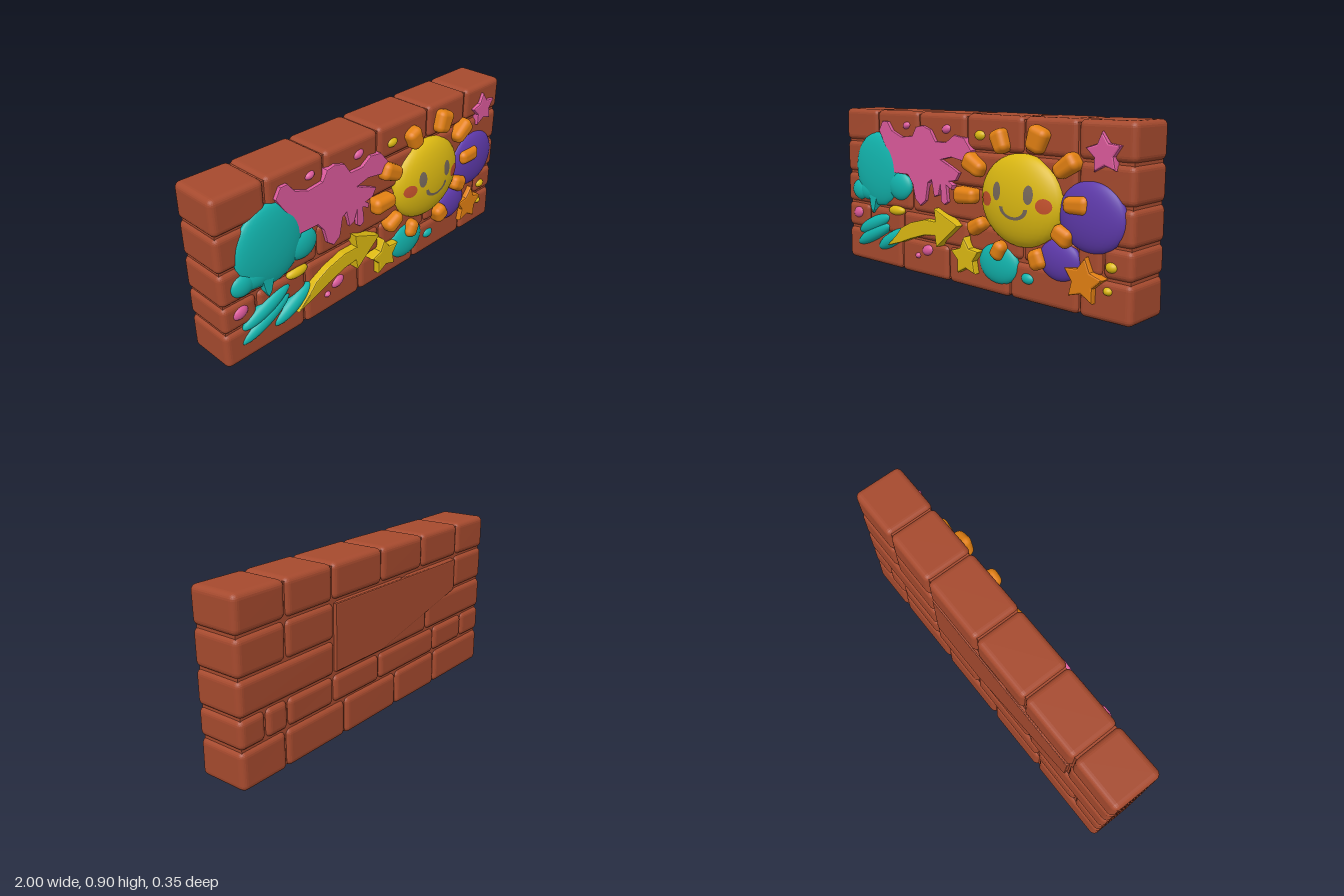
import * as THREE from 'three';
import { RoundedBoxGeometry } from 'three/addons/geometries/RoundedBoxGeometry.js';

const paint = (name, color) => {
  const m = new THREE.MeshStandardMaterial({ color });
  m.name = name;
  return m;
};

export function createModel() {
  const root = new THREE.Group();
  const brick = paint('brick red', 0xa64a2e), teal = paint('teal', 0x12b5ae);
  const pink = paint('pink', 0xdc5a9c), yellow = paint('yellow', 0xdcb912);
  const orange = paint('orange', 0xe28012), purple = paint('purple', 0x5f3aac);
  const grey = paint('face grey', 0x75675a), blush = paint('blush red', 0xc4512c);
  const FACE = 0.1; // z of the wall's front

  const add = (name, geo, mat, x = 0, y = 0, z = 0, turn = 0) => {
    const m = new THREE.Mesh(geo, mat);
    m.name = name;
    m.position.set(x, y, z);
    m.rotation.z = turn;
    root.add(m);
    return m;
  };

  // Brick courses: bottom, top, joint positions
  const courses = [
    [0, 0.2, [-1, -0.515, -0.135, 0.295, 0.715, 1]],
    [0.2, 0.35, [-1, -0.8, -0.5, 0.015, 0.38, 0.7, 0.84, 1]],
    [0.35, 0.53, [-1, -0.42, 0.37, 1]],
    [0.53, 0.72, [-1, -0.7, -0.2, 0.37, 0.7, 1]],
    [0.72, 0.908, [-1, -0.71, -0.36, 0, 0.38, 0.695, 1]],
  ];
  courses.forEach(([y0, y1, xs], row) => {
    for (let i = 0; i < xs.length - 1; i++) {
      const w = xs[i + 1] - xs[i] - 0.004, h = y1 - y0 - 0.004;
      const geo = new RoundedBoxGeometry(w, h, 0.272, 3, 0.03);
      // slight hand-cut wobble, pulling the faces inwards
      const p = geo.attributes.position;
      for (let k = 0; k < p.count; k++) {
        const s = Math.sin(p.getX(k) * 9 + i * 2.3 + row) * Math.sin(p.getY(k) * 11 + row * 1.7 + i);
        p.setZ(k, p.getZ(k) * (1 - 0.02 * Math.abs(s)));
        p.setY(k, p.getY(k) * (1 - 0.025 * Math.abs(Math.sin(p.getX(k) * 6 + i + row))));
      }
      geo.computeVertexNormals();
      add('brick', geo, brick, (xs[i] + xs[i + 1]) / 2, (y0 + y1) / 2, -0.036);
    }
  });
  add('mortarCore', new THREE.BoxGeometry(1.965, 0.87, 0.235), brick, 0, 0.453, -0.036);

  // Flat shapes from outlines
  const plate = (name, points, mat, top, bevel = 0.006) => {
    const shape = new THREE.Shape(points.map(([x, y]) => new THREE.Vector2(x, y)));
    const geo = new THREE.ExtrudeGeometry(shape, {
      depth: top - 0.07 - bevel, bevelEnabled: true, bevelThickness: bevel,
      bevelSize: bevel, bevelOffset: -bevel / 2, bevelSegments: 2,
    });
    return add(name, geo, mat, 0, 0, 0.07);
  };
  const back = plate('rearPanel',
    [[0.36, 0.705], [-0.69, 0.7], [-0.69, 0.53], [0, 0.37], [0.36, 0.37]], brick, 0.13);
  back.position.z = -0.166;

  // Outlines drawn in hundredths
  const hundredths = (list) => list.map(([x, y]) => [x / 100, y / 100]);
  plate('pinkSplat', hundredths([
    [-67, 79], [-64, 84], [-60, 84], [-56, 79], [-48, 76], [-39, 77], [-36, 82], [-31, 83], [-25, 81],
    [-21, 75], [-13, 75], [-7, 79], [0, 78], [5, 72], [4, 66], [-3, 67], [-9, 68], [-17, 66], [-10, 63],
    [-3.5, 60], [-6, 56], [-11, 55], [-8.5, 53], [-9, 51], [-13, 53], [-12, 44], [-14.5, 42.5],
    [-16.5, 44], [-17, 53], [-19, 47], [-22, 46], [-24, 55], [-27, 53], [-29, 43], [-33, 40],
    [-37, 43], [-39, 51], [-43, 56], [-55, 56], [-60, 68],
  ]), pink, 0.117, 0.004);
  plate('arrow', hundredths([
    [-59, 14], [-48, 17.5], [-39, 21], [-28, 24.5], [-19.5, 25.5], [-18.5, 19.5], [-3, 32.5],
    [-20, 39.5], [-19, 32.5], [-28, 32.5], [-39, 29.5], [-47, 25.5], [-51, 21],
  ].reverse()), yellow, 0.138);
  plate('tealDrip', hundredths([[-77.5, 42], [-76, 34], [-74.5, 31], [-73, 33], [-70.5, 42]]), teal, 0.118);

  const star = (x, y, r, mat, top, turn) => {
    const pts = [];
    for (let i = 0; i < 10; i++) {
      const a = Math.PI / 2 + turn + i * Math.PI / 5, q = i % 2 ? r * 0.54 : r;
      pts.push([x + q * Math.cos(a), y + q * Math.sin(a)]);
    }
    plate('star', pts, mat, top, 0.01);
  };
  star(0.025, 0.17, 0.098, yellow, 0.138, 0.1);
  star(0.755, 0.18, 0.105, orange, 0.13, -0.12);
  star(0.845, 0.76, 0.09, pink, 0.118, 0.1);

  // Domed paint blobs: x, y, half width, half height, height above wall, turn
  const blob = (name, mat, x, y, rx, ry, rise, turn = 0) => {
    const geo = new THREE.SphereGeometry(1, 32, 20).scale(rx, ry, rise + 0.01);
    return add(name, geo, mat, x, y, FACE - 0.01, turn);
  };
  [[-0.705, 0.565, 0.2, 0.212, 0.035], [-0.875, 0.43, 0.07, 0.06, 0.025], [-0.52, 0.485, 0.095, 0.083, 0.028],
    [-0.79, 0.435, 0.12, 0.06, 0.022], [0.225, 0.165, 0.13, 0.105, 0.027], [0.415, 0.122, 0.04, 0.028, 0.015],
    [-0.75, 0.24, 0.155, 0.042, 0.025, 0.4], [-0.76, 0.175, 0.165, 0.04, 0.025, 0.45],
    [-0.59, 0.17, 0.14, 0.042, 0.028, 0.5],
  ].forEach((b) => blob('tealBlob', teal, ...b));
  blob('purpleBlob', purple, 0.78, 0.47, 0.182, 0.165, 0.04);
  blob('purpleBlob', purple, 0.605, 0.245, 0.12, 0.1, 0.03);
  [[-0.455, 0.825, 0.03, 0.02], [-0.14, 0.82, 0.035, 0.024], [-0.9, 0.29, 0.045, 0.034],
    [-0.295, 0.15, 0.045, 0.03], [-0.37, 0.11, 0.02, 0.017],
  ].forEach((b) => blob('pinkSpot', pink, ...b, 0.015, 0.3));
  [[0.1, 0.8, 0.038, 0.026], [-0.555, 0.34, 0.065, 0.028], [0.89, 0.26, 0.032, 0.025], [0.875, 0.15, 0.025, 0.02],
  ].forEach((b) => blob('yellowSpot', yellow, ...b, 0.016, 0.05));

  // Sun with rays
  const sun = { x: 0.372, y: 0.5, rx: 0.256, ry: 0.228 };
  blob('sun', yellow, sun.x, sun.y, sun.rx, sun.ry, 0.075);
  [[0.25, 0.78, 0.12, 0.09], [0.48, 0.8, 0.125, 0.105], [0.65, 0.69, 0.14, 0.085], [0.715, 0.52, 0.14, 0.085],
    [0.635, 0.37, 0.11, 0.09], [0.49, 0.235, 0.1, 0.09], [0.245, 0.24, 0.1, 0.075], [0.1, 0.345, 0.12, 0.075],
    [0.02, 0.49, 0.15, 0.085], [0.075, 0.65, 0.14, 0.09],
  ].forEach(([x, y, len, wid]) => {
    const turn = Math.atan2(y - sun.y, x - sun.x);
    const geo = new RoundedBoxGeometry(len, wid, 0.09, 3, 0.032);
    const p = geo.attributes.position; // outer end wider than the inner one
    for (let k = 0; k < p.count; k++) p.setY(k, p.getY(k) * (1 + p.getX(k) / len * 0.25));
    add('sunRay', geo, orange, x, y, 0.108, turn);
  });

  // Face details laid onto the sun's dome
  const onSun = (name, geo, mat, x, y) => {
    geo.translate(x, y, 0);
    const p = geo.attributes.position;
    for (let k = 0; k < p.count; k++) {
      const u = (p.getX(k) - sun.x) / sun.rx, v = (p.getY(k) - sun.y) / sun.ry;
      p.setZ(k, FACE - 0.01 + 0.085 * Math.sqrt(Math.max(0, 1 - u * u - v * v)) + 0.002);
    }
    geo.computeVertexNormals();
    add(name, geo, mat);
  };
  for (const side of [-1, 1]) {
    onSun('eye', new THREE.RingGeometry(0, 1, 24, 4).scale(0.027, 0.045, 1), grey, sun.x + side * 0.098, 0.545);
    onSun('cheek', new THREE.RingGeometry(0, 1, 24, 5).scale(0.04, 0.036, 1), blush, sun.x + side * 0.178, 0.498);
  }
  onSun('smile', new THREE.RingGeometry(0.064, 0.086, 24, 2, Math.PI, Math.PI).scale(1, 0.68, 1), grey, 0.382, 0.475);

  return root;
}
